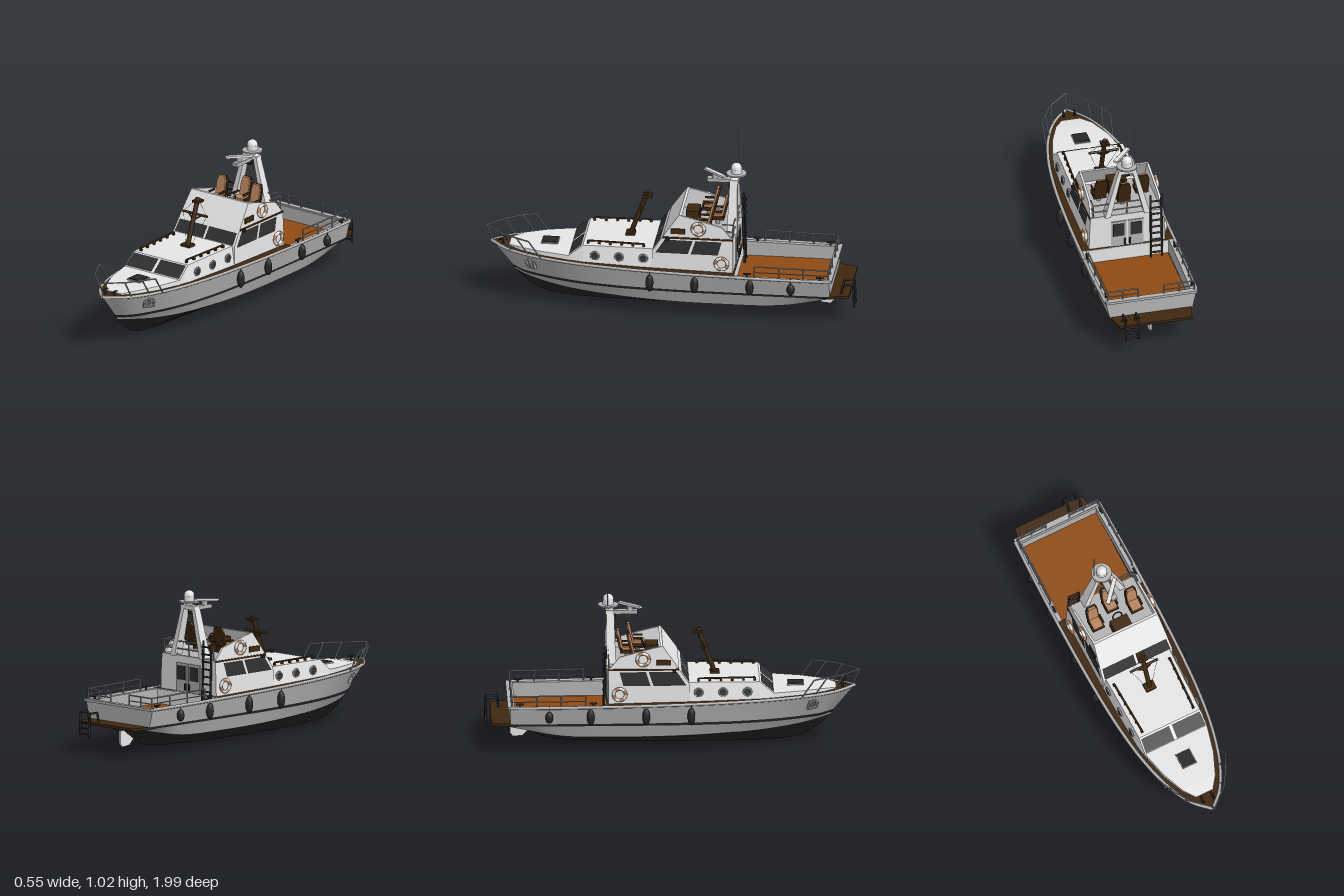
import * as THREE from 'three';

const V = (x, y, z) => new THREE.Vector3(x, y, z);
const mat = (name, color) => {
  const m = new THREE.MeshStandardMaterial({ color, side: THREE.DoubleSide });
  m.name = name;
  return m;
};

export function createModel() {
  const root = new THREE.Group();
  root.name = 'motorYacht';
  const hullGrey = mat('hullGrey', 0xb4b4b4), white = mat('cabinWhite', 0xe6e6e6), black = mat('black', 0x262626),
    wood = mat('darkWood', 0x3f2710), teak = mat('teakDeck', 0x8f4a12), tan = mat('tanCushion', 0xb9855e),
    steel = mat('steel', 0x9a9ea0), glass = mat('darkGlass', 0x2e3032), bronze = mat('bronze', 0xb0601c);

  // --- helpers ---
  const add = (name, geo, m, pos) => {
    const mesh = new THREE.Mesh(geo, m);
    mesh.name = name;
    if (pos) mesh.position.copy(pos);
    root.add(mesh);
    return mesh;
  };
  const box = (name, m, w, h, d, x, y, z) => add(name, new THREE.BoxGeometry(w, h, d), m, V(x, y, z));
  const rod = (name, m, a, b, r, sides = 8) => {
    const d = b.clone().sub(a);
    const mesh = add(name, new THREE.CylinderGeometry(r, r, d.length(), sides), m, a.clone().lerp(b, 0.5));
    mesh.quaternion.setFromUnitVectors(V(0, 1, 0), d.normalize());
    return mesh;
  };
  const path = (name, m, pts, r) => pts.slice(1).forEach((p, i) => rod(name, m, pts[i], p, r));
  const surface = (name, m, pts, idx, smooth) => {
    let g = new THREE.BufferGeometry().setFromPoints(pts);
    g.setIndex(idx);
    if (!smooth) g = g.toNonIndexed();
    g.computeVertexNormals();
    return add(name, g, m);
  };
  const poly = (name, m, pts) => {
    const idx = [];
    for (let i = 1; i < pts.length - 1; i++) idx.push(0, i, i + 1);
    return surface(name, m, pts, idx);
  };
  const ribbon = (name, m, fa, fb, u0 = 0, u1 = 1, n = 40) => {
    const pts = [], idx = [];
    for (let i = 0; i <= n; i++) {
      const u = u0 + (u1 - u0) * i / n;
      pts.push(fa(u), fb(u));
      if (i < n) idx.push(2 * i, 2 * i + 1, 2 * i + 2, 2 * i + 1, 2 * i + 3, 2 * i + 2);
    }
    return surface(name, m, pts, idx, true);
  };
  const loft = (name, m, rings) => {
    const n = rings[0].length, idx = [], last = (rings.length - 1) * n;
    for (let k = 0; k < rings.length - 1; k++) for (let j = 0; j < n; j++) {
      const a = k * n + j, b = k * n + (j + 1) % n;
      idx.push(a, b, a + n, b, b + n, a + n);
    }
    for (let j = 1; j < n - 1; j++) idx.push(0, j + 1, j, last, last + j, last + j + 1);
    return surface(name, m, rings.flat(), idx);
  };

  // --- hull: four long lines, stern to bow ---
  const curve = (zs, xs, ys) => new THREE.CatmullRomCurve3(zs.map((z, i) => V(xs[i], ys[i], z)));
  const low = [-0.87, -0.6, -0.3, 0, 0.3, 0.52, 0.68, 0.78, 0.84];
  const lines = {
    sheer: curve([-0.87, -0.6, -0.3, 0, 0.3, 0.55, 0.75, 0.88, 0.965], [0.25, 0.256, 0.257, 0.253, 0.238, 0.205, 0.15, 0.083, 0],
      [0.268, 0.27, 0.274, 0.28, 0.287, 0.293, 0.298, 0.303, 0.31]),
    water: curve(low, [0.225, 0.228, 0.228, 0.225, 0.205, 0.165, 0.11, 0.06, 0], low.map(() => 0.16)),
    chine: curve(low, [0.2, 0.205, 0.205, 0.203, 0.18, 0.14, 0.09, 0.045, 0], [0.15, 0.1, 0.092, 0.095, 0.105, 0.117, 0.131, 0.145, 0.153]),
    keel: curve([-0.87, -0.7, -0.4, 0, 0.3, 0.52, 0.67, 0.76, 0.838], low.map(() => 0), [0.148, 0.04, 0.012, 0.004, 0.006, 0.014, 0.035, 0.08, 0.152]),
  };
  for (const s of [1, -1]) {
    const at = k => u => lines[k].getPoint(u).multiply(V(s, 1, 1));
    const stripeTop = u => at('water')(u).lerp(at('sheer')(u), 0.12);
    const inner = u => at('sheer')(u).multiply(V(0.88, 1, 1));
    const foot = u => inner(u).setY(0.19);
    ribbon('hullBottom', black, at('keel'), at('chine'));
    ribbon('hullLowerSide', hullGrey, at('chine'), at('water'));
    ribbon('waterlineStripe', black, at('water'), stripeTop);
    ribbon('hullSide', hullGrey, stripeTop, at('sheer'));
    ribbon('bulwarkCap', hullGrey, at('sheer'), inner, 0, 0.23, 10);
    ribbon('bulwarkInside', hullGrey, inner, foot, 0, 0.23, 10);
    add('rubRail', new THREE.TubeGeometry(new THREE.CatmullRomCurve3([...Array(31)].map((_, i) => at('sheer')(i / 30))), 60, 0.009, 6), hullGrey);
  }
  const right = u => lines.sheer.getPoint(u), left = u => right(u).multiply(V(-1, 1, 1));
  ribbon('sideDeck', wood, u => right(u).add(V(0, 0.004, 0)), u => left(u).add(V(0, 0.004, 0)), 0.225, 1);
  poly('transom', hullGrey, [V(0.25, 0.268, -0.87), V(-0.25, 0.268, -0.87), V(-0.225, 0.16, -0.87), V(-0.2, 0.15, -0.87), V(0.2, 0.15, -0.87), V(0.225, 0.16, -0.87)]);
  box('transomCap', hullGrey, 0.5, 0.014, 0.03, 0, 0.268, -0.87);
  box('transomInside', hullGrey, 0.44, 0.08, 0.012, 0, 0.228, -0.853);
  box('aftDeck', teak, 0.446, 0.008, 0.5, 0, 0.19, -0.605);
  loft('swimPlatform', wood, [0.158, 0.172].map(y => [V(0.222, y, -0.87), V(0.2, y, -0.97), V(-0.2, y, -0.97), V(-0.222, y, -0.87)]));

  // --- foredeck and trunk cabin ---
  const ring = (z, wb, wt, y) => [V(-wb, 0.26, z), V(-wt, y, z), V(wt, y, z), V(wb, 0.26, z)];
  loft('trunkCabin', white, [[0.865, 0.055, 0.05, 0.312], [0.8, 0.102, 0.098, 0.32], [0.68, 0.152, 0.147, 0.322], [0.53, 0.188, 0.184, 0.322],
    [0.455, 0.203, 0.181, 0.385], [0.2, 0.212, 0.186, 0.387], [0.05, 0.214, 0.19, 0.387]].map(r => ring(...r)));
  for (const s of [1, -1]) {
    poly('trunkWindow', glass, [V(s * 0.008, 0.327, 0.529), V(s * 0.178, 0.327, 0.529), V(s * 0.174, 0.382, 0.464), V(s * 0.008, 0.382, 0.464)]);
    for (const z of [0.39, 0.26, 0.13]) {
      const x = s * (0.2075 - (z - 0.13) * 0.02 - 0.007);
      const p = add('portholeGlass', new THREE.CylinderGeometry(0.019, 0.019, 0.008, 16), glass, V(x, 0.334, z));
      p.rotation.z = Math.PI / 2 + s * 0.2;
      add('portholeRim', new THREE.TorusGeometry(0.021, 0.005, 6, 18), steel, V(x, 0.334, z)).rotation.y = Math.PI / 2;
    }
    rod('trunkHandrail', wood, V(s * 0.165, 0.402, 0.13), V(s * 0.152, 0.402, 0.43), 0.005);
    for (let i = 0; i < 6; i++) box('handrailFoot', wood, 0.012, 0.016, 0.012, s * (0.165 - i * 0.0026), 0.394, 0.13 + i * 0.06);
  }
  box('deckHatch', black, 0.075, 0.012, 0.08, 0, 0.327, 0.65);
  box('hatchFrame', steel, 0.085, 0.007, 0.09, 0, 0.325, 0.65);

  // --- foremast with yard and stays ---
  box('mastStep', wood, 0.06, 0.015, 0.05, 0, 0.392, 0.22);
  rod('foremast', wood, V(0, 0.39, 0.22), V(0, 0.635, 0.13), 0.013);
  rod('yard', wood, V(-0.082, 0.55, 0.155), V(0.082, 0.55, 0.155), 0.007);
  box('mastFitting', wood, 0.045, 0.012, 0.05, 0, 0.615, 0.13);
  for (const s of [1, -1]) {
    rod('yardBrace', wood, V(s * 0.045, 0.55, 0.156), V(0, 0.52, 0.168), 0.005);
    path('stay', steel, [V(0, 0.63, 0.13), V(s * 0.078, 0.55, 0.155), V(s * 0.02, 0.4, 0.21)], 0.0009);
  }

  // --- wheelhouse ---
  loft('wheelhouse', white, [[0.19, 0.09, 0.212], [0.385, 0.08, 0.205], [0.465, 0.025, 0.2]].map(([y, z, w]) =>
    [V(w, y, z), V(w, y, -0.35), V(-w, y, -0.35), V(-w, y, z)]));
  box('cockpitBulkhead', white, 0.45, 0.085, 0.01, 0, 0.23, -0.352);
  loft('bridgeFront', white, [[0.465, 0.027, 0.2], [0.588, -0.06, 0.19]].map(([y, z, w]) => [V(w, y, z), V(w, y, z - 0.014), V(-w, y, z - 0.014), V(-w, y, z)]));
  box('bridgeFloor', hullGrey, 0.39, 0.006, 0.33, 0, 0.468, -0.185);
  for (const s of [1, -1]) {
    const side = (y, z, o = 0) => V(s * (0.205 - (y - 0.385) * 0.0625 + o), y, z);
    const cut = [[0.465, 0.027], [0.588, -0.06], [0.578, -0.11], [0.53, -0.29], [0.465, -0.345]];
    loft('bridgeSide', white, [0, -0.012].map(o => cut.map(([y, z]) => V(s * (0.2 - (y - 0.465) * 0.08 + o), y, z))));
    // windows, trim and plate
    poly('sideWindow', glass, [side(0.375, 0.065, 0.003), side(0.45, 0.015, 0.003), side(0.45, -0.135, 0.003), side(0.375, -0.11, 0.003)]);
    poly('sideWindow', glass, [side(0.375, -0.125, 0.003), side(0.45, -0.15, 0.003), side(0.45, -0.29, 0.003), side(0.375, -0.27, 0.003)]);
    box('woodTrim', wood, 0.006, 0.009, 0.375, s * 0.202, 0.462, -0.162);
    box('sidePlate', wood, 0.006, 0.03, 0.075, s * 0.2, 0.5, -0.055);
    poly('windshield', glass, [V(s * 0.006, 0.39, 0.0796), V(s * 0.195, 0.39, 0.0796), V(s * 0.19, 0.448, 0.0397), V(s * 0.006, 0.448, 0.0397)]);
    // aft doors
    box('aftDoor', hullGrey, 0.085, 0.225, 0.006, s * 0.047, 0.318, -0.353);
    box('doorWindow', glass, 0.062, 0.075, 0.004, s * 0.047, 0.378, -0.357);
    box('doorHandle', black, 0.008, 0.035, 0.012, s * 0.014, 0.305, -0.36);
    // lifebuoys
    for (const [x, y, z] of [[0.205, 0.52, -0.165], [0.217, 0.33, -0.29]]) {
      for (let i = 0; i < 8; i++) {
        const b = add('lifebuoy', new THREE.TorusGeometry(0.032, 0.009, 8, 6, Math.PI / 4), i % 2 ? tan : white, V(s * x, y, z));
        b.rotation.set(i * Math.PI / 4, Math.PI / 2, 0, 'XYZ');
      }
    }
    box('runningLight', black, 0.02, 0.012, 0.02, s * 0.207, 0.455, 0.0);
  }
  // bridge rear rail
  for (const y of [0.505, 0.545]) path('bridgeRail', steel, [V(0.185, y, -0.29), V(0.185, y, -0.35), V(-0.1, y, -0.35)], 0.004);
  for (const x of [0.185, 0.09, 0, -0.1, -0.185]) rod('bridgeRailPost', steel, V(x, 0.465, -0.345), V(x, 0.545, -0.35), 0.004);
  // bridge ladder
  for (const x of [-0.185, -0.125]) rod('bridgeLadderRail', black, V(x, 0.19, -0.375), V(x, 0.57, -0.362), 0.006);
  for (let i = 0; i < 9; i++) rod('bridgeLadderRung', black, V(-0.185, 0.22 + i * 0.04, -0.374), V(-0.125, 0.22 + i * 0.04, -0.374), 0.005);

  // --- helm and seats ---
  box('helmConsole', wood, 0.1, 0.09, 0.07, 0, 0.51, -0.115);
  add('steeringWheel', new THREE.TorusGeometry(0.026, 0.004, 6, 16), black, V(0, 0.55, -0.16)).rotation.x = -0.4;
  for (const [x, z] of [[-0.115, -0.185], [0.115, -0.185], [0, -0.245]]) {
    rod('seatPost', steel, V(x, 0.47, z), V(x, 0.505, z), 0.012);
    box('seatBase', wood, 0.07, 0.018, 0.075, x, 0.512, z);
    box('seatCushion', tan, 0.056, 0.018, 0.06, x, 0.527, z + 0.005);
    const back = (w1, w2, d, o) => [[0.525, w1, 0], [0.6, w1, -0.017], [0.629, w2, -0.024]].map(([y, w, k]) =>
      [V(x - w, y, z - 0.03 + k + o), V(x + w, y, z - 0.03 + k + o), V(x + w, y, z - 0.03 + k + o - d), V(x - w, y, z - 0.03 + k + o - d)]);
    loft('seatBackShell', wood, back(0.034, 0.024, 0.012, 0));
    loft('seatBackCushion', tan, back(0.028, 0.02, 0.01, 0.01));
    for (const s of [1, -1]) box('armrest', wood, 0.008, 0.01, 0.05, x + s * 0.034, 0.552, z);
  }

  // --- radar mast ---
  for (const s of [1, -1]) loft('radarLeg', white, [[0.465, 0.108, 0.016, 0.028], [0.745, 0.036, 0.011, 0.02]].map(([y, x, w, d]) =>
    [V(s * x - w, y, -0.335 + d), V(s * x + w, y, -0.335 + d), V(s * x + w, y, -0.335 - d), V(s * x - w, y, -0.335 - d)]));
  box('mastCrossbar', white, 0.1, 0.022, 0.04, 0, 0.735, -0.34);
  add('mastPlate', new THREE.CylinderGeometry(0.055, 0.055, 0.008, 20), hullGrey, V(0, 0.765, -0.345));
  rod('mastNeck', hullGrey, V(0, 0.74, -0.345), V(0, 0.775, -0.345), 0.02, 14);
  add('radarDome', new THREE.SphereGeometry(0.029, 18, 12), white, V(0, 0.797, -0.345));
  rod('domeBase', white, V(0, 0.768, -0.345), V(0, 0.795, -0.345), 0.029, 18);
  box('radarArm', hullGrey, 0.035, 0.02, 0.15, 0, 0.726, -0.265);
  rod('radarMotor', hullGrey, V(0, 0.73, -0.23), V(0, 0.758, -0.23), 0.016, 12);
  box('radarBar', white, 0.15, 0.012, 0.022, 0, 0.763, -0.23).rotation.y = 0.85;
  box('hornLight', black, 0.04, 0.025, 0.03, 0, 0.708, -0.32);
  rod('whipAntenna', steel, V(-0.042, 0.765, -0.35), V(-0.042, 1.02, -0.35), 0.002, 6);

  // --- rails, fenders, anchors and cleats ---
  const deckAt = [[0.184, 0.297, 0.68], [0.15, 0.3, 0.75], [0.105, 0.304, 0.85], [0, 0.312, 0.955]];
  const top = [[0.186, 0.392, 0.745], [0.152, 0.395, 0.815], [0.1, 0.395, 0.9], [0, 0.397, 0.99]];
  for (const s of [1, -1]) {
    const m = p => V(s * p[0], p[1], p[2]);
    path('bowRail', steel, [m(deckAt[0]), ...top.map(m)], 0.004);
    for (let i = 1; i < 4; i++) rod('bowRailPost', steel, m(deckAt[i]), m(top[i]), 0.004);
    path('sternRail', steel, [m([0.243, 0.335, -0.47]), m([0.238, 0.328, -0.865]), m([0.07, 0.328, -0.865])], 0.004);
    path('sternRailLower', steel, [m([0.243, 0.302, -0.47]), m([0.238, 0.298, -0.865]), m([0.07, 0.298, -0.865])], 0.003);
    for (const [x, z] of [[0.243, -0.47], [0.242, -0.6], [0.24, -0.73], [0.238, -0.865], [0.155, -0.865], [0.07, -0.865]])
      rod('sternRailPost', steel, m([x, 0.268, z]), m([x, 0.331, z]), 0.004);
    for (const [z, h] of [[0.09, 0.048], [-0.15, 0.046], [-0.445, 0.044], [-0.665, 0.032]]) {
      add('fender', new THREE.SphereGeometry(1, 14, 12), black, V(s * 0.256, 0.217, z)).scale.set(0.02, h, 0.021);
      rod('fenderRope', black, V(s * 0.257, 0.25, z), V(s * 0.257, 0.282, z), 0.002, 6);
    }
    const anchor = new THREE.Group();
    anchor.name = 'anchor';
    anchor.position.set(s * 0.133, 0.247, 0.735);
    anchor.rotation.set(0, s * 0.95, 0);
    anchor.rotateX(0.45);
    [[0.05, 0.044, 0.008, 0, 0, 0], [0.009, 0.055, 0.014, 0, 0.004, 0.009], [0.062, 0.012, 0.014, 0, -0.02, 0.009],
      [0.01, 0.035, 0.014, 0.026, -0.005, 0.009], [0.01, 0.035, 0.014, -0.026, -0.005, 0.009]].forEach(([w, h, d, x, y, z]) => {
      const b = new THREE.Mesh(new THREE.BoxGeometry(w, h, d), steel);
      b.name = 'anchorPart';
      b.position.set(x, y, z);
      anchor.add(b);
    });
    root.add(anchor);
    for (const [x, y, z] of [[0.03, 0.33, 0.9], [0.24, 0.29, -0.43], [0.235, 0.285, -0.82]]) {
      rod('cleatPost', black, V(s * x, y - 0.025, z), V(s * x, y, z), 0.006);
      rod('cleatBar', black, V(s * x, y, z - 0.02), V(s * x, y, z + 0.02), 0.005);
    }
  }

  // --- boarding ladder, propeller and rudder ---
  for (const x of [0.1, 0.17]) path('boardingLadderRail', black, [V(x, 0.17, -0.925), V(x, 0.222, -0.935), V(x, 0.222, -0.99), V(x, 0.095, -0.995)], 0.006);
  for (const y of [0.11, 0.14, 0.17]) rod('boardingLadderRung', black, V(0.1, y, -0.994), V(0.17, y, -0.994), 0.005);
  rod('propellerShaft', steel, V(0, 0.085, -0.62), V(0, 0.09, -0.74), 0.007);
  rod('propellerHub', bronze, V(0, 0.09, -0.712), V(0, 0.09, -0.745), 0.013, 12);
  for (let i = 0; i < 4; i++) {
    const a = i * Math.PI / 2 + 0.4;
    const blade = add('propellerBlade', new THREE.SphereGeometry(1, 10, 8), bronze, V(-Math.sin(a) * 0.026, 0.09 + Math.cos(a) * 0.026, -0.728));
    blade.scale.set(0.016, 0.024, 0.004);
    blade.rotation.set(0, 0, a);
    blade.rotateY(0.5);
  }
  const rud = [[0.125, -0.77], [0.128, -0.865], [0.06, -0.868], [0.04, -0.85], [0.045, -0.8], [0.075, -0.77]];
  loft('rudder', white, [0.006, -0.006].map(x => rud.map(([y, z]) => V(x, y, z))));
  rod('rudderStock', steel, V(0, 0.1, -0.815), V(0, 0.16, -0.815), 0.007);
  return root;
}
